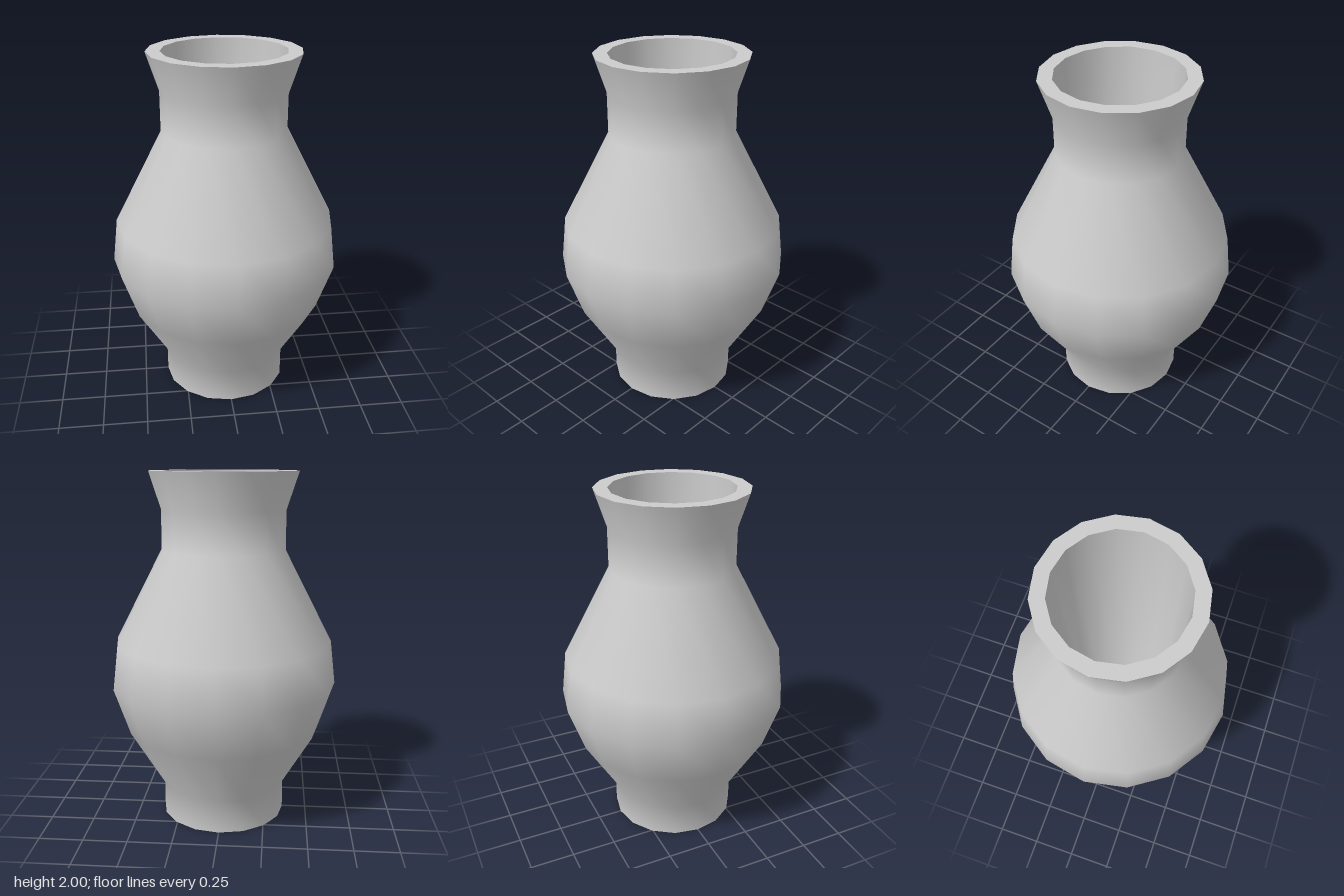
import * as THREE from 'three';

const SIDES = 16;
const material = new THREE.MeshStandardMaterial({ color: 0xcccccc });

// Turn a [radius, height] profile around the y axis
function turned(name, profile) {
  const points = profile.map(([r, y]) => new THREE.Vector2(r, y));
  const mesh = new THREE.Mesh(new THREE.LatheGeometry(points, SIDES), material);
  mesh.name = name;
  return mesh;
}

export function createModel() {
  const vase = new THREE.Group();
  vase.name = 'vase';

  // Separate profiles keep the rim and foot edges sharp
  vase.add(
    turned('base', [[0, 0], [0.36, 0]]),
    turned('outerWall', [
      [0.36, 0], [0.36, 0.19],               // foot
      [0.56, 0.53], [0.65, 0.8], [0.62, 1.05], // belly
      [0.35, 1.57], [0.35, 1.79],            // neck
      [0.418, 2],                            // flared lip
    ]),
    turned('rim', [[0.418, 2], [0.34, 2]]),
    turned('innerWall', [[0.34, 2], [0.3, 0.15], [0, 0.15]]),
  );
  return vase;
}
